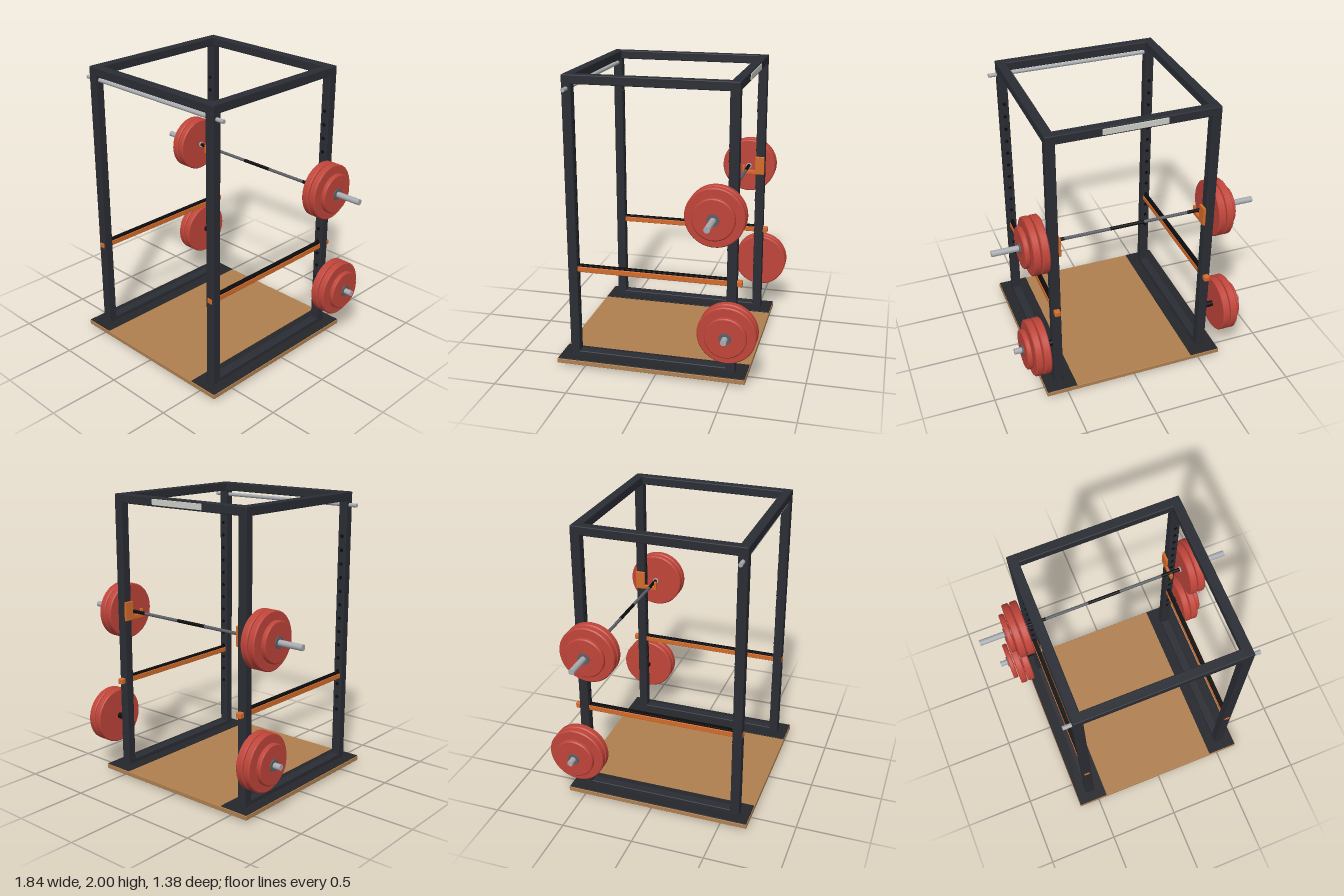
import * as THREE from 'three';
import { RoundedBoxGeometry } from 'three/addons/geometries/RoundedBoxGeometry.js';

const mat = (color) => new THREE.MeshStandardMaterial({ color });
const STEEL = mat(0x2a2d34), BLACK = mat(0x0c0c0e), RUBBER = mat(0x24262b), WOOD = mat(0xb08050);
const RED = mat(0xc0453a), ORANGE = mat(0xd56b2a), CHROME = mat(0xa8abb0), HUB = mat(0x5c6066), PLATE = mat(0xcfcfc8);

const POST_X = 0.542, FRONT_Z = 0.584, BACK_Z = -0.5, TUBE = 0.064;

// Box given by its minimum and maximum corners, with slightly softened edges
function box(parent, name, material, [x0, y0, z0], [x1, y1, z1], r = 0.004) {
  const mesh = new THREE.Mesh(new RoundedBoxGeometry(x1 - x0, y1 - y0, z1 - z0, 2, r), material);
  mesh.position.set((x0 + x1) / 2, (y0 + y1) / 2, (z0 + z1) / 2);
  mesh.name = name;
  parent.add(mesh);
  return mesh;
}

// Round bar along x
function rod(parent, name, material, x0, x1, y, z, r) {
  const geo = new THREE.CylinderGeometry(r, r, Math.abs(x1 - x0), 24).rotateZ(Math.PI / 2);
  const mesh = new THREE.Mesh(geo, material);
  mesh.position.set((x0 + x1) / 2, y, z);
  mesh.name = name;
  parent.add(mesh);
}

// Weight disc with bevelled rims, axis along x, running from x0 to x1
function disc(parent, x0, x1, y, z, r) {
  const h = (x1 - x0) / 2, b = 0.007, hole = 0.018;
  const profile = [[hole, -h], [r - b, -h], [r - b, -h], [r, b - h], [r, b - h],
    [r, h - b], [r, h - b], [r - b, h], [r - b, h], [hole, h]];
  const geo = new THREE.LatheGeometry(profile.map(([a, c]) => new THREE.Vector2(a, c)), 48).rotateZ(-Math.PI / 2);
  const mesh = new THREE.Mesh(geo, RED);
  mesh.position.set((x0 + x1) / 2, y, z);
  mesh.name = 'weightPlate';
  parent.add(mesh);
}

// Two large discs and one small, stacked outward on one side
function discStack(parent, s, start, y, z) {
  for (const [a, b, r] of [[0, 0.052, 0.195], [0.058, 0.108, 0.195], [0.114, 0.15, 0.138]]) {
    const p = s * (start + a), q = s * (start + b);
    disc(parent, Math.min(p, q), Math.max(p, q), y, z, r);
  }
  rod(parent, 'collar', HUB, s * (start + 0.14), s * (start + 0.157), y, z, 0.04);
}

function group(parent, name) {
  const g = new THREE.Group();
  g.name = name;
  parent.add(g);
  return g;
}

export function createModel() {
  const model = new THREE.Group();
  model.name = 'powerRack';
  const t = TUBE / 2;

  // Platform with rubber strips along both sides
  const platform = group(model, 'platform');
  box(platform, 'woodDeck', WOOD, [-0.652, 0.018, -0.614], [0.652, 0.05, 0.69]);
  for (const s of [-1, 1]) {
    box(platform, 'rubberMat', RUBBER, [s * 0.541 - 0.107, 0.046, -0.61], [s * 0.541 + 0.107, 0.055, 0.686], 0.002);
  }

  // Frame: posts, side rails and cross beams
  const frame = group(model, 'frame');
  for (const s of [-1, 1]) {
    const x = s * POST_X;
    for (const z of [FRONT_Z, BACK_Z]) {
      box(frame, 'post', STEEL, [x - t, 0, z - t], [x + t, 1.995, z + t], 0.006);
      // Row of adjustment holes on the face that looks into the rack
      const faceZ = z - Math.sign(z) * t;
      for (let i = 0; i < 14; i++) {
        const hole = new THREE.Mesh(new THREE.CylinderGeometry(0.012, 0.012, 0.01, 16).rotateX(Math.PI / 2), BLACK);
        hole.position.set(x, 0.43 + i * 0.0973, faceZ);
        hole.name = 'postHole';
        frame.add(hole);
      }
    }
    box(frame, 'topSideBeam', STEEL, [x - t, 1.94, BACK_Z - t], [x + t, 2, FRONT_Z + t], 0.006);
    box(frame, 'baseRail', STEEL, [x - t, 0.022, BACK_Z], [x + t, 0.086, FRONT_Z], 0.006);
  }
  for (const z of [FRONT_Z, BACK_Z]) {
    box(frame, 'topCrossBeam', STEEL, [-POST_X - t, 1.94, z - t], [POST_X + t, 2, z + t], 0.006);
  }
  box(frame, 'blankPlate', PLATE, [-0.215, 1.95, BACK_Z - t - 0.006], [0.215, 1.99, BACK_Z - t + 0.004], 0.002);
  rod(model, 'pullUpBar', CHROME, -0.632, 0.632, 1.91, FRONT_Z, 0.0135);

  for (const s of [-1, 1]) {
    const x = s * POST_X;

    // Safety bar running through the posts, with a dark pad on top
    const safety = group(model, 'safetyBar');
    box(safety, 'safetyTube', ORANGE, [x - 0.02, 0.668, -0.567], [x + 0.02, 0.706, 0.62], 0.005);
    box(safety, 'safetyPad', BLACK, [x - 0.016, 0.703, BACK_Z + t], [x + 0.016, 0.716, FRONT_Z - t], 0.002);

    // Hook that carries the barbell, on the inner face of the back post
    const hook = group(model, 'barHook');
    const hx = s * 0.503, w = 0.009;
    box(hook, 'hookPlate', ORANGE, [hx - w, 1.125, BACK_Z - t], [hx + w, 1.258, BACK_Z + t + 0.004], 0.003);
    box(hook, 'hookArm', ORANGE, [hx - w, 1.127, BACK_Z + t - 0.01], [hx + w, 1.156, -0.37], 0.003);
    box(hook, 'hookLip', ORANGE, [hx - w, 1.127, -0.388], [hx + w, 1.192, -0.37], 0.003);

    // Storage pin with spare weights, beside the back post
    const storage = group(model, 'weightStorage');
    rod(storage, 'pinRoot', BLACK, s * 0.56, s * 0.64, 0.398, BACK_Z, 0.021);
    rod(storage, 'storagePin', CHROME, s * 0.63, s * 0.838, 0.398, BACK_Z, 0.02);
    discStack(storage, s, 0.629, 0.398, BACK_Z);
  }

  // Loaded barbell
  const barbell = group(model, 'barbell');
  const by = 1.167, bz = -0.405;
  rod(barbell, 'shaft', HUB, -0.6, 0.6, by, bz, 0.011);
  rod(barbell, 'centreGrip', BLACK, -0.12, 0.12, by, bz, 0.0118);
  for (const s of [-1, 1]) {
    rod(barbell, 'outerGrip', BLACK, s * 0.435, s * 0.575, by, bz, 0.0118);
    rod(barbell, 'sleeve', CHROME, s * 0.575, s * 0.918, by, bz, 0.0205);
    discStack(barbell, s, 0.583, by, bz);
  }
  return model;
}
